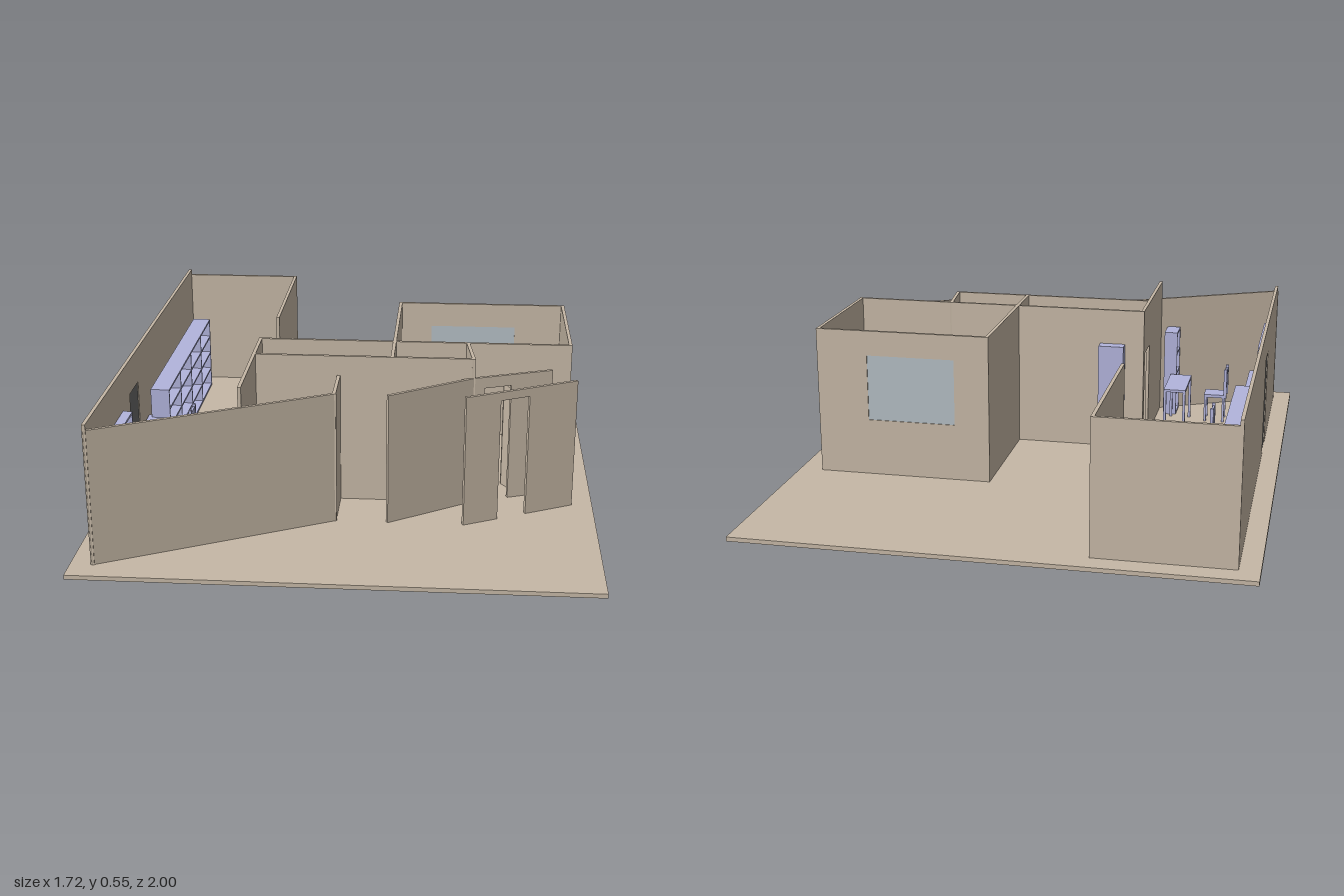
import * as THREE from 'three';
import { RoundedBoxGeometry } from 'three/addons/geometries/RoundedBoxGeometry.js';

const FLOOR = 0.015, T = 0.012;
const mat = (color) => new THREE.MeshStandardMaterial({ color });
const wallMat = mat(0xc6b8a6), furnitureMat = mat(0xb2b4dc), glassMat = mat(0xb4bec4), doorMat = mat(0x686868);

// Box given by its minimum and maximum corners
function box(parent, name, x0, x1, y0, y1, z0, z1, material = furnitureMat) {
  const m = new THREE.Mesh(new THREE.BoxGeometry(x1 - x0, y1 - y0, z1 - z0), material);
  m.position.set((x0 + x1) / 2, (y0 + y1) / 2, (z0 + z1) / 2);
  m.name = name;
  parent.add(m);
  return m;
}

function group(parent, name) {
  const g = new THREE.Group();
  g.name = name;
  parent.add(g);
  return g;
}

// Straight wall between two plan points; openings are [start, end, sill, head, panel], in distance along the wall
function wall(parent, name, x1, z1, x2, z2, top, openings = []) {
  const g = group(parent, name), len = Math.hypot(x2 - x1, z2 - z1), h = T / 2;
  g.position.set(x1, 0, z1);
  g.rotation.y = -Math.atan2(z2 - z1, x2 - x1);
  let at = -h;
  for (const [a, b, sill, head, panel] of openings) {
    box(g, 'wallPiece', at, a, FLOOR, top, -h, h, wallMat);
    if (sill > FLOOR) box(g, 'sill', a, b, FLOOR, sill, -h, h, wallMat);
    box(g, 'lintel', a, b, head, top, -h, h, wallMat);
    if (panel) box(g, panel === glassMat ? 'windowPane' : 'doorPanel', a, b, sill, head, -0.003, 0.003, panel);
    at = b;
  }
  box(g, 'wallPiece', at, len + h, FLOOR, top, -h, h, wallMat);
}

// Open bookcase along z; side is the x direction of its open face
function bookcase(parent, name, x0, x1, z0, z1, top, rows, cols, side) {
  const g = group(parent, name), t = 0.008;
  const back = side > 0 ? x0 : x1 - t;
  box(g, 'back', back, back + t, FLOOR, top, z0, z1);
  for (let i = 0; i <= rows; i++) {
    const y = FLOOR + (top - FLOOR - t) * i / rows;
    box(g, 'shelf', x0, x1, y, y + t, z0, z1);
  }
  for (let i = 0; i <= cols; i++) {
    const z = z0 + (z1 - z0 - t) * i / cols;
    box(g, 'upright', x0, x1, FLOOR, top, z, z + t);
  }
}

// Table with a top and four legs
function table(parent, name, x0, x1, z0, z1, top) {
  const g = group(parent, name), t = 0.01;
  box(g, 'tableTop', x0, x1, top - t, top, z0, z1);
  for (const x of [x0, x1 - t]) for (const z of [z0, z1 - t])
    box(g, 'tableLeg', x, x + t, FLOOR, top - t, z, z + t);
}

// Chair facing +x with its backrest at -x
function chair(parent, x, z) {
  const g = group(parent, 'chair'), y = 0.115;
  box(g, 'seat', x + 0.01, x + 0.09, y, y + 0.012, z + 0.004, z + 0.08);
  for (const lx of [x + 0.008, x + 0.08]) for (const lz of [z + 0.004, z + 0.07])
    box(g, 'chairLeg', lx, lx + 0.009, FLOOR, y, lz, lz + 0.009);
  for (const pz of [z, z + 0.075]) box(g, 'backPost', x, x + 0.012, y, 0.235, pz, pz + 0.01);
  box(g, 'backrest', x + 0.002, x + 0.01, 0.16, 0.225, z + 0.01, z + 0.075);
}

export function createModel() {
  const model = new THREE.Group();
  model.name = 'floorPlanModel';
  box(model, 'floor', -0.86, 0.86, 0, FLOOR, -1, 1, wallMat);

  // Outer walls of the long hall
  const walls = group(model, 'walls');
  wall(walls, 'longSideWall', -0.785, -0.92, -0.785, 0.915, 0.5, [[1.1, 1.235, FLOOR, 0.38, doorMat]]);
  wall(walls, 'hallBackWall', -0.785, -0.92, -0.33, -0.92, 0.48);
  wall(walls, 'hallInnerWall', -0.33, -0.92, -0.33, -0.325, 0.48);
  wall(walls, 'slantedFrontWall', -0.785, 0.915, -0.035, 0.525, 0.48);
  wall(walls, 'porchSideWall', -0.035, 0.525, -0.035, 0.335, 0.48);

  // Bedroom and corridor walls
  wall(walls, 'bedroomBackWall', 0.15, -0.325, 0.77, -0.325, 0.55, [[0.12, 0.44, 0.22, 0.46, glassMat]]);
  wall(walls, 'bedroomSideWall', 0.77, -0.325, 0.77, 0.16, 0.55, [[0.115, 0.23, 0.25, 0.43, glassMat]]);
  wall(walls, 'bedroomInnerWall', 0.15, -0.325, 0.15, 0.335, 0.55);
  wall(walls, 'corridorBackWall', -0.33, 0.16, 0.77, 0.16, 0.55, [[0.77, 0.87, FLOOR, 0.4]]);
  wall(walls, 'corridorFrontWall', -0.33, 0.335, 0.43, 0.335, 0.55);
  wall(walls, 'corridorEndWall', -0.33, 0.16, -0.33, 0.675, 0.55, [[0.03, 0.15, FLOOR, 0.38]]);
  wall(walls, 'entryCornerWall', 0.41, 0.16, 0.43, 0.335, 0.55);

  // Angled entrance walls
  wall(walls, 'entrySlantWall', 0.15, 0.525, 0.43, 0.335, 0.48);
  wall(walls, 'entryInnerDoorWall', 0.43, 0.335, 0.7, 0.23, 0.48, [[0.04, 0.14, FLOOR, 0.44]]);
  wall(walls, 'entryOuterDoorWall', 0.41, 0.525, 0.78, 0.335, 0.48, [[0.125, 0.235, FLOOR, 0.45]]);
  wall(walls, 'openDoor', 0.55, 0.17, 0.61, 0.26, 0.4);

  // Hall furniture
  const hall = group(model, 'hallFurniture');
  bookcase(hall, 'longBookcase', -0.76, -0.69, -0.82, 0.07, 0.31, 4, 4, 1);
  box(hall, 'lowCabinet', -0.775, -0.705, FLOOR, 0.2, 0.045, 0.125);
  box(hall, 'sideCabinet', -0.775, -0.68, FLOOR, 0.2, 0.335, 0.435);
  bookcase(hall, 'wallBookcase', -0.778, -0.745, 0.43, 0.83, 0.36, 4, 3, 1);
  table(hall, 'desk', -0.745, -0.7, 0.46, 0.7, 0.19);
  table(hall, 'table', -0.475, -0.39, 0.36, 0.58, 0.19);
  bookcase(hall, 'smallBookcase', -0.412, -0.36, 0.595, 0.695, 0.36, 4, 1, -1);
  box(hall, 'tallCabinet', -0.265, -0.17, FLOOR, 0.42, 0.11, 0.154);
  box(hall, 'closetCabinet', -0.323, -0.21, FLOOR, 0.2, 0.341, 0.44);
  chair(hall, -0.618, 0);
  chair(hall, -0.622, 0.528);

  // Bedroom furniture
  const bedroom = group(model, 'bedroomFurniture');
  const bed = group(bedroom, 'bed');
  box(bed, 'bedBase', 0.165, 0.487, FLOOR, 0.06, -0.312, -0.108);
  box(bed, 'mattress', 0.168, 0.483, 0.06, 0.1, -0.308, -0.112);
  const pillow = new THREE.Mesh(new RoundedBoxGeometry(0.048, 0.035, 0.175, 3, 0.015), furnitureMat);
  pillow.name = 'pillow';
  pillow.position.set(0.196, 0.112, -0.21);
  bed.add(pillow);
  bookcase(bedroom, 'tallBookcase', 0.16, 0.23, -0.107, -0.04, 0.42, 5, 1, 1);
  box(bedroom, 'wardrobe', 0.178, 0.228, FLOOR, 0.36, -0.04, 0.14);
  box(bedroom, 'lowDresser', 0.23, 0.385, FLOOR, 0.2, 0.085, 0.14);
  table(bedroom, 'longDesk', 0.672, 0.753, -0.315, 0.085, 0.2);
  chair(bedroom, 0.575, -0.005);
  return model;
}
